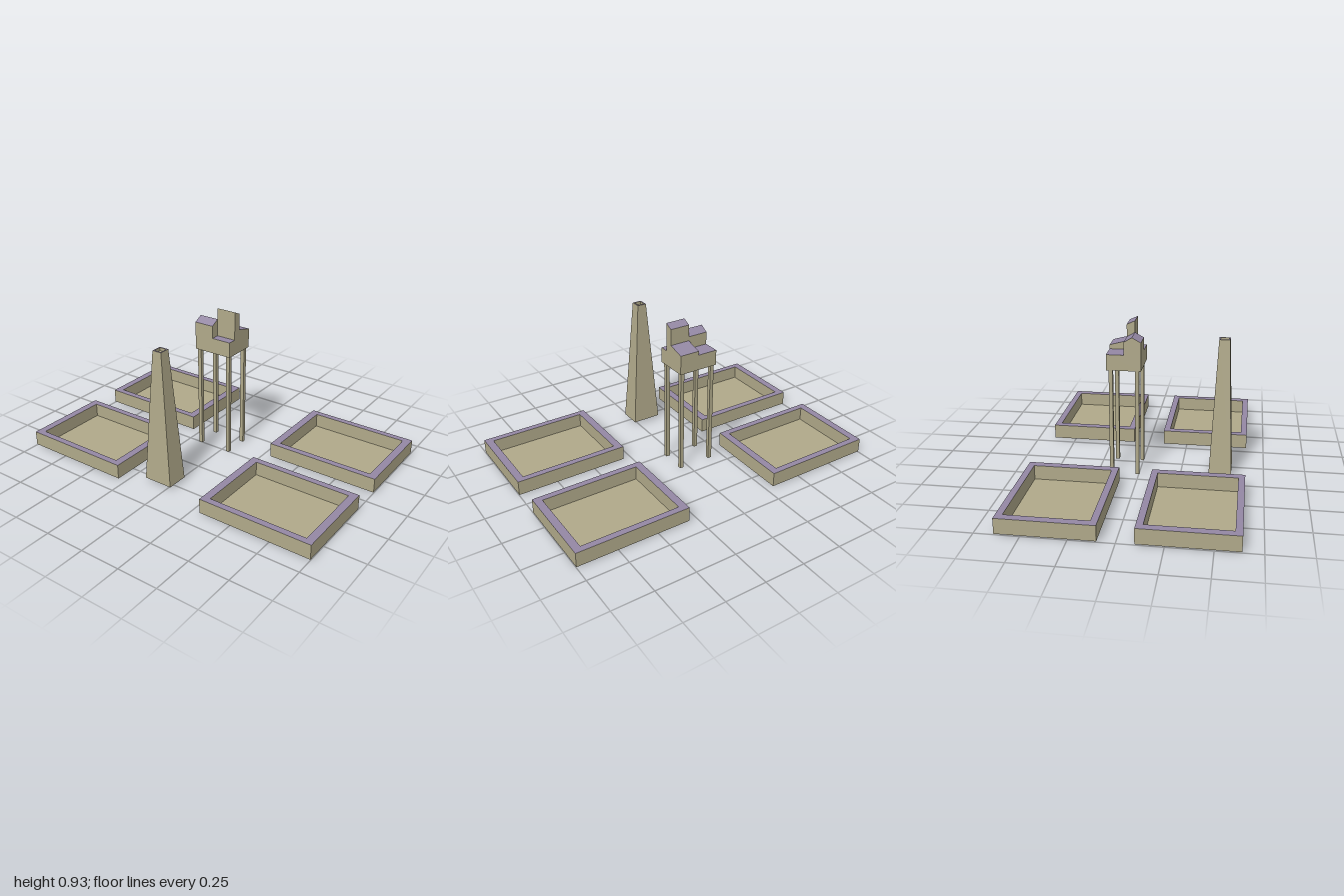
import * as THREE from 'three';

const olive = new THREE.MeshStandardMaterial({ color: 0xb0a98a, flatShading: true });
const oliveOpen = new THREE.MeshStandardMaterial({ color: 0xb0a98a, flatShading: true, side: THREE.DoubleSide });
const purple = new THREE.MeshStandardMaterial({ color: 0x9488a4, flatShading: true });

// Mesh whose upward faces are purple and the rest olive
function toppedMesh(name, source, wall = olive) {
  const geo = source.index ? source.toNonIndexed() : source;
  geo.computeVertexNormals();
  geo.clearGroups();
  const n = geo.attributes.normal;
  for (let i = 0; i < n.count; i += 3) geo.addGroup(i, 3, n.getY(i) > 0.3 ? 1 : 0);
  const mesh = new THREE.Mesh(geo, [wall, purple]);
  mesh.name = name;
  return mesh;
}

function box(name, w, h, d, x, y, z) {
  const mesh = new THREE.Mesh(new THREE.BoxGeometry(w, h, d), olive);
  mesh.name = name;
  mesh.position.set(x, y, z);
  return mesh;
}

function rectangle(Type, w, d) {
  return new Type([[-w, -d], [w, -d], [w, d], [-w, d]].map(([x, y]) => new THREE.Vector2(x / 2, y / 2)));
}

// Shallow basin: a rectangular rim around a thin floor
function basin(x, z) {
  const group = new THREE.Group();
  group.name = 'basin';
  const shape = rectangle(THREE.Shape, 0.542, 0.7);
  shape.holes.push(rectangle(THREE.Path, 0.465, 0.606));
  const rim = new THREE.ExtrudeGeometry(shape, { depth: 0.09, bevelEnabled: false });
  rim.rotateX(-Math.PI / 2).translate(0, 0.005, 0);
  group.add(toppedMesh('basinRim', rim));
  group.add(box('basinFloor', 0.465, 0.008, 0.606, 0, 0.004, 0));
  group.position.set(x, 0, z);
  return group;
}

// Tapered square chimney, open below, with a recessed plate in the top
function chimney() {
  const group = new THREE.Group();
  group.name = 'chimney';
  const profile = [[0.0675, 0.02], [0.032, 0.84], [0.024, 0.84], [0.024, 0.82]]
    .map(([r, y]) => new THREE.Vector2(r * Math.SQRT2, y));
  const geo = new THREE.LatheGeometry(profile, 4, Math.PI / 4);
  const p = geo.attributes.position;
  for (let i = 0; i < p.count; i++) {
    // the base is deeper than wide, the top nearly square
    p.setZ(i, p.getZ(i) * THREE.MathUtils.mapLinear(p.getY(i), 0.02, 0.84, 1.36, 0.92));
  }
  group.add(toppedMesh('chimneyWalls', geo, oliveOpen));
  group.add(box('chimneyPlate', 0.048, 0.004, 0.045, 0, 0.82, 0));
  group.position.set(-0.488, 0, -0.066);
  return group;
}

// One half of the tower head, a side profile extruded along z
function headHalf(name, points, z0, z1) {
  const shape = new THREE.Shape(points.map(([x, y]) => new THREE.Vector2(x, y)));
  const geo = new THREE.ExtrudeGeometry(shape, { depth: z1 - z0, bevelEnabled: false });
  return toppedMesh(name, geo.translate(0, 0, z0));
}

function tower() {
  const group = new THREE.Group();
  group.name = 'tower';
  for (const x of [0.009, 0.165]) {
    for (const z of [0.043, -0.166]) group.add(box('towerLeg', 0.023, 0.655, 0.024, x, 0.3275, z));
  }
  group.add(headHalf('towerHeadFront', [
    [-0.015, 0.655], [0.19, 0.655], [0.19, 0.775], [0.087, 0.802],
    [0.087, 0.902], [0.038, 0.925], [0.038, 0.75], [-0.015, 0.75],
  ], -0.059, 0.065));
  group.add(headHalf('towerHeadBack', [
    [-0.015, 0.655], [0.19, 0.655], [0.19, 0.75], [0.087, 0.75],
    [0.087, 0.827], [0.038, 0.856], [-0.015, 0.827],
  ], -0.184, -0.059));
  return group;
}

export function createModel() {
  const model = new THREE.Group();
  model.name = 'settlingYard';
  for (const x of [-0.369, 0.369]) {
    for (const z of [-0.65, 0.65]) model.add(basin(x, z));
  }
  model.add(chimney(), tower());
  return model;
}
